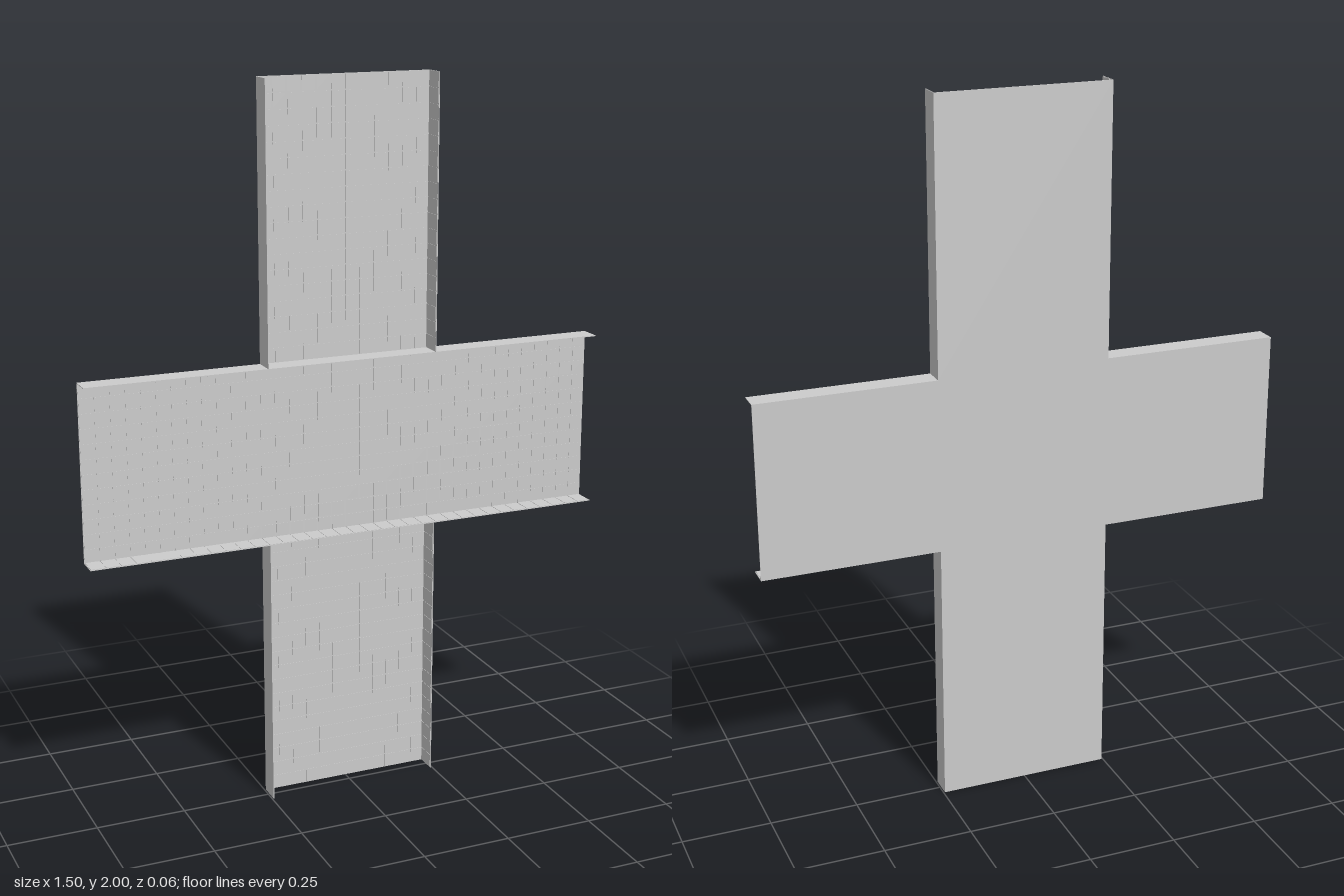
import * as THREE from 'three';
import { mergeGeometries } from 'three/addons/utils/BufferGeometryUtils.js';

const HALF = 0.246;    // half width of every arm
const REACH = 0.748;   // half span of the crossbar
const BACK = -0.031, FRONT = 0.031;
const SHEET = 0.002;   // plate and flange thickness
const RELIEF = 0.001;  // height of the tiles
const GAP = 0.004;     // seam between tiles

export function createModel() {
  const group = new THREE.Group();
  const material = new THREE.MeshStandardMaterial({ color: 0xcccccc, flatShading: true });
  const add = (name, geometry) => {
    const mesh = new THREE.Mesh(geometry, material);
    mesh.name = name;
    group.add(mesh);
  };
  const box = (x0, x1, y0, y1, z0, z1) =>
    new THREE.BoxGeometry(x1 - x0, y1 - y0, z1 - z0)
      .translate((x0 + x1) / 2, (y0 + y1) / 2, (z0 + z1) / 2);

  // Cross-shaped back plate
  const h = HALF, r = REACH;
  const outline = [[-h, 0], [h, 0], [h, 1 - h], [r, 1 - h], [r, 1 + h], [h, 1 + h],
    [h, 2], [-h, 2], [-h, 1 + h], [-r, 1 + h], [-r, 1 - h], [-h, 1 - h]];
  const shape = new THREE.Shape(outline.map(([x, y]) => new THREE.Vector2(x, y)));
  add('backPlate', new THREE.ExtrudeGeometry(shape, { depth: SHEET, bevelEnabled: false })
    .translate(0, 0, BACK));

  // Shallow square tiles over the front of the plate
  const tiles = [];
  const tileField = (x0, x1, y0, y1, nx, ny) => {
    const dx = (x1 - x0) / nx, dy = (y1 - y0) / ny, g = GAP / 2;
    const z = BACK + SHEET;
    for (let i = 0; i < nx; i++) for (let j = 0; j < ny; j++) {
      const x = x0 + i * dx, y = y0 + j * dy;
      tiles.push(box(x + g, x + dx - g, y + g, y + dy - g, z, z + RELIEF));
    }
  };
  tileField(-h, h, 0, 1 - h, 12, 18);
  tileField(-r, r, 1 - h, 1 + h, 36, 12);
  tileField(-h, h, 1 + h, 2, 12, 18);
  add('frontTiles', mergeGeometries(tiles));

  // Flanges along the arm sides, lined with tiles on the inside
  const g = GAP / 2;
  for (const side of [-1, 1]) {
    const sideName = side > 0 ? 'left' : 'right';
    const xs = [side * h, side * (h - SHEET), side * (h - SHEET - RELIEF)];
    const span = (a, b) => [Math.min(a, b), Math.max(a, b)];
    for (const [name, y0, y1] of [['Lower', 0, 1 - h], ['Upper', 1 + h, 2]]) {
      const parts = [box(...span(xs[0], xs[1]), y0, y1, BACK, FRONT)];
      const step = (y1 - y0) / 18;
      for (let i = 0; i < 18; i++) {
        parts.push(box(...span(xs[1], xs[2]), y0 + i * step + g, y0 + (i + 1) * step - g,
          BACK + SHEET, FRONT - g));
      }
      add(sideName + name + 'Flange', mergeGeometries(parts));
    }

    // Crossbar flange runs unbroken from end to end
    const ys = [1 + side * h, 1 + side * (h - SHEET), 1 + side * (h - SHEET - RELIEF)];
    const parts = [box(-r, r, ...span(ys[0], ys[1]), BACK, FRONT)];
    const step = 2 * r / 36;
    for (let i = 0; i < 36; i++) {
      parts.push(box(-r + i * step + g, -r + (i + 1) * step - g, ...span(ys[1], ys[2]),
        BACK + SHEET, FRONT - g));
    }
    add(side > 0 ? 'crossbarTopFlange' : 'crossbarBottomFlange', mergeGeometries(parts));
  }
  return group;
}
